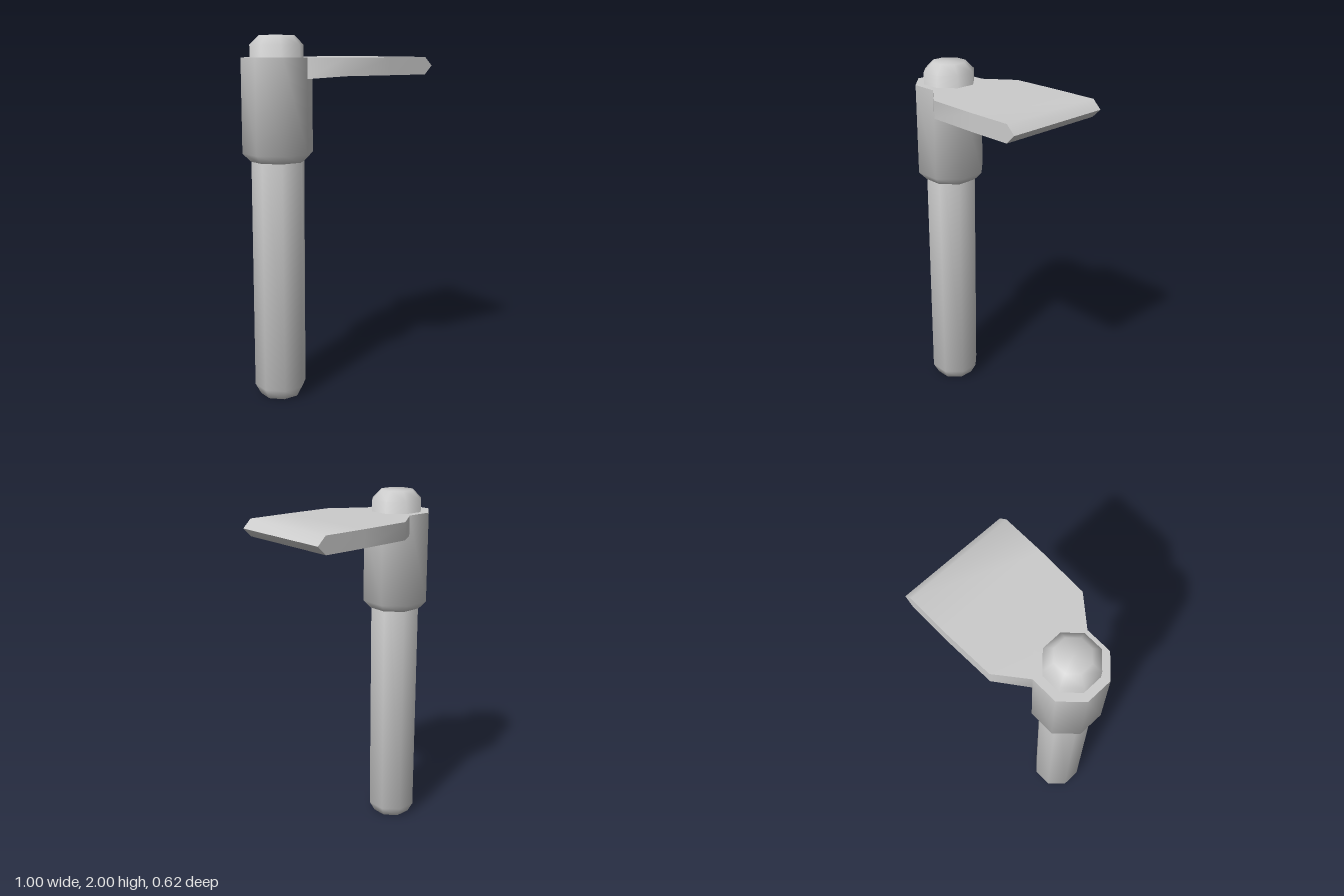
import * as THREE from 'three';
import { toCreasedNormals } from 'three/addons/utils/BufferGeometryUtils.js';

const CREASE = 1.2;
const AXIS_X = -0.32;
const material = new THREE.MeshStandardMaterial({ color: 0xcccccc });

function addMesh(group, name, geometry) {
  const mesh = new THREE.Mesh(toCreasedNormals(geometry, CREASE), material);
  mesh.name = name;
  group.add(mesh);
  return mesh;
}

// Eight-sided turned part; profile is [distance to flat, height] from bottom to top
function octagonTurned(profile) {
  const points = profile.map(([a, y]) => new THREE.Vector2(a / Math.cos(Math.PI / 8), y));
  return new THREE.LatheGeometry(points, 8, Math.PI / 8);
}

// Flat lever lofted through rectangular stations along x: [x, half width, bottom, top]
function leverGeometry(stations) {
  const positions = [];
  const index = [0, 1, 2, 0, 2, 3];
  stations.forEach(([x, w, bottom, top], i) => {
    positions.push(x, top, w, x, top, -w, x, bottom, -w, x, bottom, w);
    if (i === stations.length - 1) return;
    for (let k = 0; k < 4; k++) {
      const a = i * 4 + k, b = i * 4 + ((k + 1) % 4);
      index.push(a, a + 4, b + 4, a, b + 4, b);
    }
  });
  const geometry = new THREE.BufferGeometry();
  geometry.setAttribute('position', new THREE.Float32BufferAttribute(positions, 3));
  geometry.setIndex(index);
  return geometry;
}

export function createModel() {
  const group = new THREE.Group();
  group.name = 'leverPin';

  // Long pin with chamfered ends
  const pin = addMesh(group, 'pin', octagonTurned([
    [0, 0], [0.104, 0], [0.134, 0.06], [0.134, 1.95], [0.087, 2], [0, 2],
  ]));
  pin.position.x = AXIS_X;

  // Collar around the upper pin
  const collar = addMesh(group, 'collar', octagonTurned([
    [0, 1.335], [0.138, 1.335], [0.178, 1.38], [0.178, 1.885], [0, 1.885],
  ]));
  collar.position.x = AXIS_X;

  // Lever plate flaring out of the collar to a bevelled edge
  addMesh(group, 'lever', leverGeometry([
    [-0.246, 0.178, 1.775, 1.885],
    [-0.09, 0.303, 1.79, 1.885],
    [0.2, 0.312, 1.79, 1.885],
    [0.448, 0.312, 1.79, 1.885],
    [0.497, 0.312, 1.838, 1.838],
  ]));

  return group;
}
